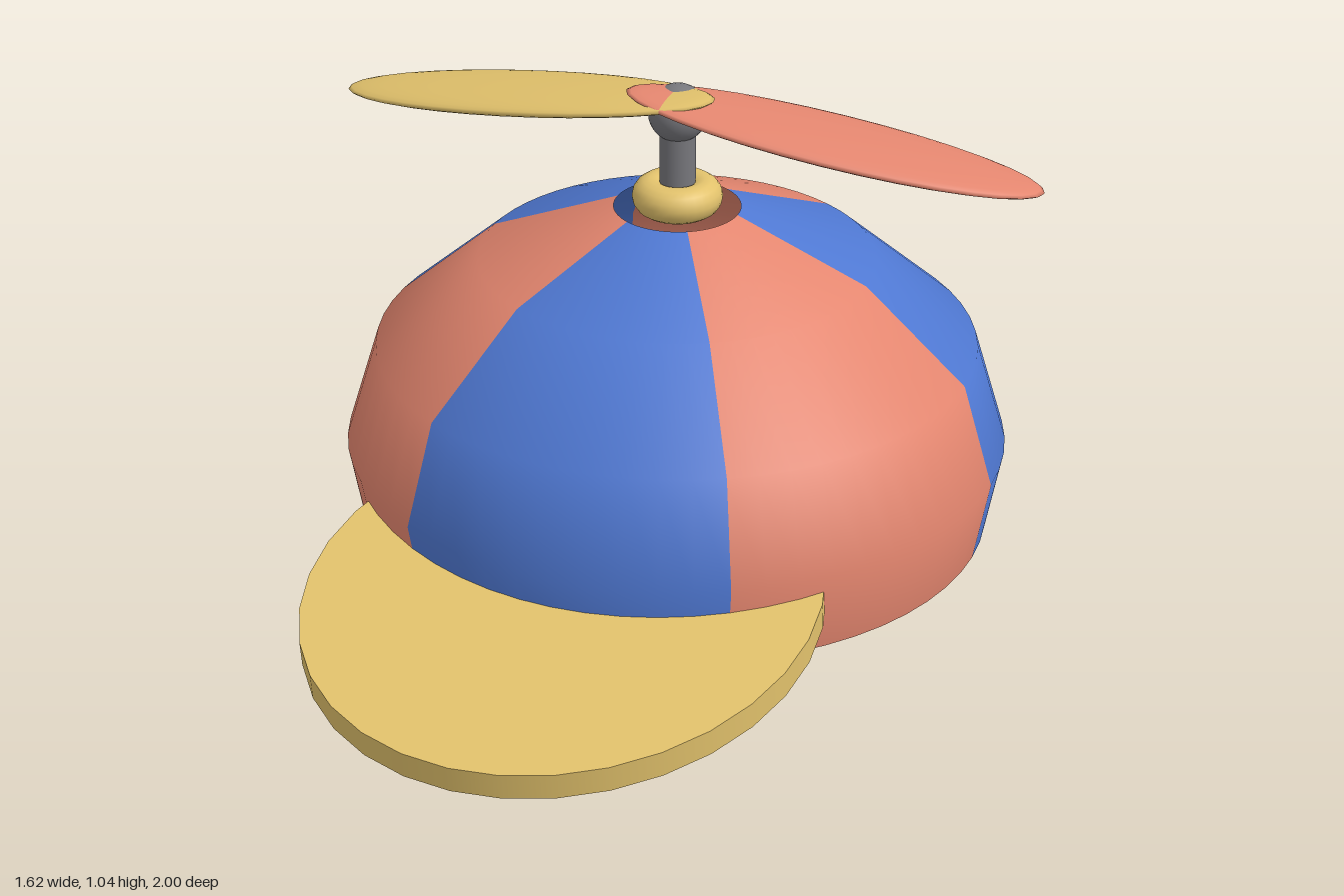
import * as THREE from 'three';

const paint = (color) => new THREE.MeshStandardMaterial({ color, side: THREE.DoubleSide });

export function createModel() {
  const group = new THREE.Group();
  const blue = paint(0x4f78d2);
  const red = paint(0xe4866f);
  const gold = paint(0xe2c26c);
  const grey = paint(0x77777c);

  const add = (name, geometry, material, x, y, z) => {
    const mesh = new THREE.Mesh(geometry, material);
    mesh.name = name;
    mesh.position.set(x, y, z);
    group.add(mesh);
    return mesh;
  };
  const axisZ = -0.26; // vertical axis of crown and propeller

  // Crown: six alternating gores, open at the bottom and with a small hole on top
  const profile = [[0.705, 0.02], [0.74, 0.21], [0.67, 0.44], [0.44, 0.64], [0.14, 0.76]]
    .map(([r, y]) => new THREE.Vector2(r, y));
  const gore = Math.PI / 3;
  for (let i = 0; i < 6; i++) {
    const panel = new THREE.LatheGeometry(profile, 10, (i - 0.5) * gore, gore);
    add('crownPanel' + (i + 1), panel, i % 2 ? red : blue, 0, 0, axisZ);
  }

  // Brim: tilted oval slab that runs on inside the crown
  const brim = add('brim', new THREE.CylinderGeometry(1, 1, 0.06, 32), gold, 0, 0.12, 0.4);
  brim.scale.set(0.55, 1, 0.6);
  brim.rotation.x = 0.143;

  // Collar, stem and hub of the propeller
  const collar = add('collar', new THREE.TorusGeometry(0.06, 0.04, 16, 32), gold, 0, 0.785, axisZ);
  collar.rotation.x = Math.PI / 2;
  add('stem', new THREE.CylinderGeometry(0.04, 0.04, 0.25, 24), grey, 0, 0.87, axisZ);
  add('hub', new THREE.SphereGeometry(0.065, 24, 16), grey, 0, 0.98, axisZ);

  // Propeller: two flat, drooping, slightly swept blades
  for (const side of [1, -1]) {
    const blade = add(side > 0 ? 'leftBlade' : 'rightBlade',
      new THREE.SphereGeometry(1, 32, 16), side > 0 ? red : gold, side * 0.355, 0.97, axisZ);
    blade.scale.set(0.463, 0.025, 0.13);
    blade.rotation.set(0, side * 0.11, side * -0.148);
  }

  return group;
}
